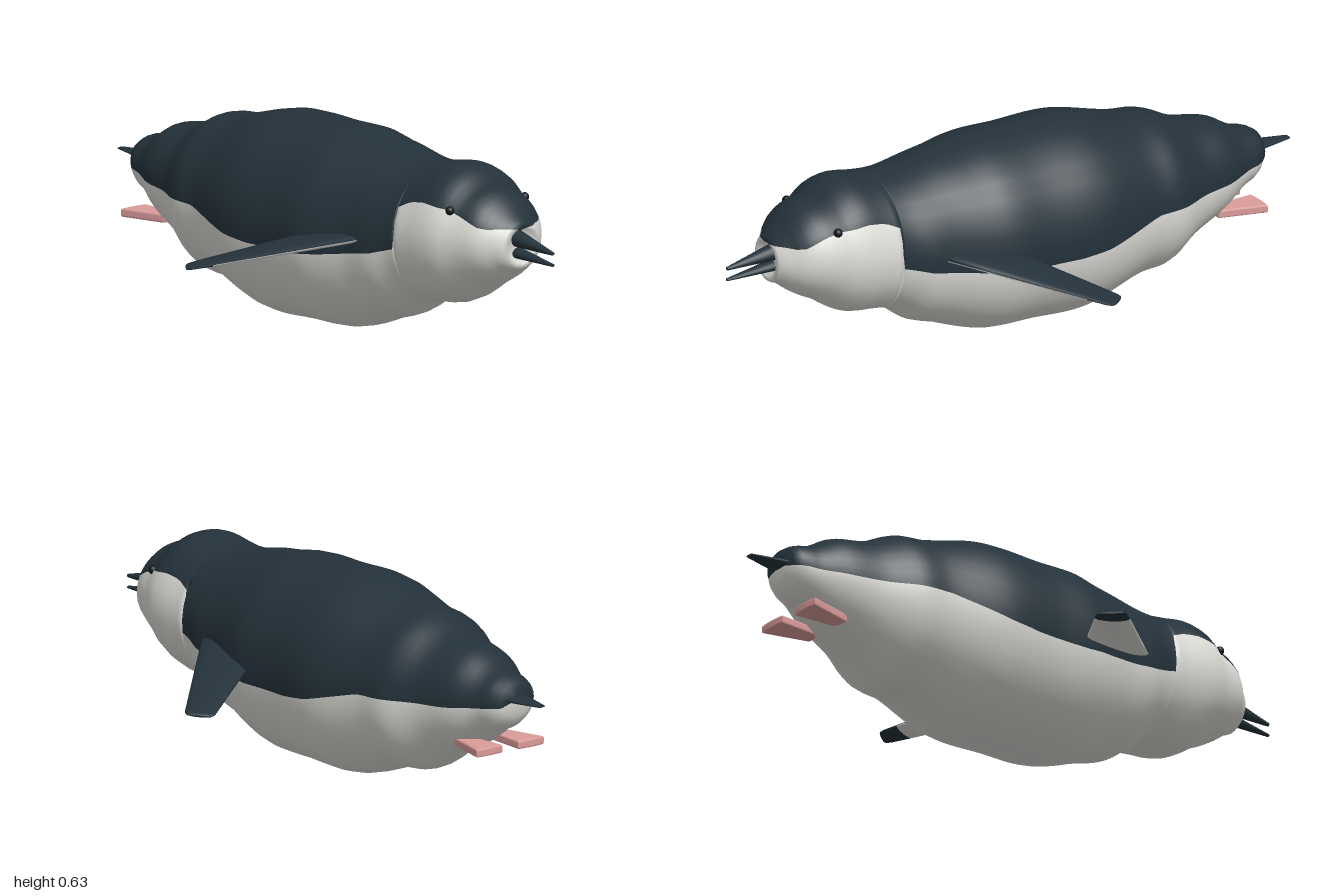
import * as THREE from 'three';

const mat = (name, color, side = THREE.FrontSide) => {
  const m = new THREE.MeshStandardMaterial({ color, side });
  m.name = name;
  return m;
};

// Skin closed rings of points; pick(i, j) gives the material of each quad
function loft(rings, pick, mats, flip = false) {
  const n = rings[0].length;
  const faces = mats.map(() => []);
  for (let i = 0; i < rings.length - 1; i++) {
    for (let j = 0; j < n; j++) {
      const k = (j + 1) % n;
      const a = i * n + j, b = i * n + k, c = a + n, d = b + n;
      faces[pick(i, j)].push(...(flip ? [a, b, c, b, d, c] : [a, c, b, b, c, d]));
    }
  }
  const g = new THREE.BufferGeometry();
  g.setAttribute('position', new THREE.Float32BufferAttribute(rings.flat(2), 3));
  g.setIndex(faces.flat());
  let start = 0;
  faces.forEach((f, m) => { g.addGroup(start, f.length, m); start += f.length; });
  g.computeVertexNormals();
  return new THREE.Mesh(g, mats);
}

// Body stations: x, top, bottom, half width
const STATIONS = [
  [-0.88, 0.43, 0.325, 0.065], [-0.85, 0.448, 0.285, 0.09], [-0.8, 0.46, 0.26, 0.105],
  [-0.72, 0.505, 0.205, 0.145], [-0.6, 0.53, 0.145, 0.18], [-0.5, 0.575, 0.083, 0.228],
  [-0.4, 0.588, 0.07, 0.24], [-0.2, 0.635, 0.01, 0.285], [0, 0.635, 0.01, 0.282],
  [0.13, 0.635, 0.013, 0.282], [0.22, 0.62, 0.035, 0.262], [0.3, 0.61, 0.065, 0.24],
  [0.39, 0.592, 0.095, 0.228], [0.46, 0.588, 0.145, 0.208], [0.53, 0.595, 0.158, 0.203],
  [0.6, 0.605, 0.165, 0.203], [0.66, 0.59, 0.19, 0.195], [0.71, 0.555, 0.225, 0.172],
  [0.76, 0.54, 0.25, 0.152], [0.8, 0.51, 0.275, 0.13], [0.83, 0.475, 0.3, 0.095],
  [0.855, 0.455, 0.31, 0.073],
];
// Height of the edge between dark back and pale belly: x, y
const EDGE = [
  [-0.9, 0.36], [-0.7, 0.34], [-0.4, 0.335], [-0.3, 0.31], [-0.2, 0.285], [-0.1, 0.275],
  [0.1, 0.275], [0.2, 0.285], [0.4, 0.315], [0.487, 0.34], [0.493, 0.47], [0.54, 0.492],
  [0.6, 0.5], [0.68, 0.49], [0.75, 0.465], [0.8, 0.44], [0.9, 0.44],
];

const find = (table, x) => {
  let i = 0;
  while (i < table.length - 2 && x > table[i + 1][0]) i++;
  return i;
};

function edgeY(x) {
  const i = find(EDGE, x), [x0, y0] = EDGE[i], [x1, y1] = EDGE[i + 1];
  return THREE.MathUtils.lerp(y0, y1, (x - x0) / (x1 - x0));
}

// Smooth interpolation of one station column
function profile(x, col) {
  const i = find(STATIONS, x), last = STATIONS.length - 1;
  const slope = (k) => {
    const a = STATIONS[Math.max(k - 1, 0)], b = STATIONS[Math.min(k + 1, last)];
    return (b[col] - a[col]) / (b[0] - a[0]);
  };
  const a = STATIONS[i], b = STATIONS[i + 1], h = b[0] - a[0], t = (x - a[0]) / h;
  const t2 = t * t, t3 = t2 * t;
  return (2 * t3 - 3 * t2 + 1) * a[col] + (t3 - 2 * t2 + t) * h * slope(i)
    + (3 * t2 - 2 * t3) * b[col] + (t3 - t2) * h * slope(i + 1);
}

const HALF = 18;
// Ring whose first half lies above the colour edge and second half below
function bodyRing(x, top, bottom, hw) {
  const yc = (top + bottom) / 2, ry = (top - bottom) / 2;
  const e = Math.asin(THREE.MathUtils.clamp((edgeY(x) - yc) / ry, -0.97, 0.97));
  const ring = [];
  for (let j = 0; j < HALF * 2; j++) {
    const a = j < HALF
      ? e + (Math.PI - 2 * e) * j / HALF
      : Math.PI - e + (Math.PI + 2 * e) * (j - HALF) / HALF;
    ring.push([x, yc + ry * Math.sin(a), hw * Math.cos(a)]);
  }
  return ring;
}

export function createModel() {
  const dark = mat('dark plumage', 0x24323b);
  const pale = mat('pale plumage', 0xdddcd7);
  const pink = mat('pink skin', 0xdb9c9a);
  const black = mat('black eye', 0x11161a);
  const model = new THREE.Group();
  const add = (mesh, name) => { mesh.name = name; model.add(mesh); return mesh; };

  // Body and head in one skin, closed at the rump and recessed at the beak
  const xs = [0.487, 0.493];
  for (let i = 0; i <= 80; i++) xs.push(-0.88 + 1.735 * i / 80);
  xs.sort((a, b) => a - b);
  const rings = [
    bodyRing(-0.882, 0.379, 0.377, 0.001),
    ...xs.map((x) => bodyRing(x, profile(x, 1), profile(x, 2), profile(x, 3))),
    bodyRing(0.858, 0.438, 0.327, 0.055),
    bodyRing(0.84, 0.43, 0.335, 0.048),
    bodyRing(0.838, 0.383, 0.381, 0.001),
  ];
  add(loft(rings, (i, j) => (j < HALF ? 0 : 1), [dark, pale]), 'body');

  // Tapered part along x, from (x0, y0) to (x1, y1), with flattening
  const spike = (name, x0, y0, x1, y1, r0, r1, flat) => {
    const len = Math.abs(x1 - x0), dir = Math.sign(x1 - x0);
    const g = new THREE.CylinderGeometry(r1, r0, len, 16);
    g.rotateZ(-dir * Math.PI / 2);
    g.scale(1, flat, 1);
    const m = add(new THREE.Mesh(g, dark), name);
    m.position.set((x0 + x1) / 2, (y0 + y1) / 2, 0);
    m.rotation.z = Math.atan((y1 - y0) / (x1 - x0));
  };
  spike('upperBeak', 0.835, 0.402, 1.0, 0.381, 0.029, 0.006, 0.9);
  spike('lowerBeak', 0.835, 0.358, 1.0, 0.345, 0.025, 0.006, 0.7);
  spike('tail', -0.85, 0.379, -1.0, 0.379, 0.05, 0.014, 0.25);

  for (const s of [1, -1]) {
    const side = s > 0 ? 'left' : 'right';

    // Flipper: dark above and at the tip, pale below
    const lead = [new THREE.Vector3(0.36, 0.352, 0.23), new THREE.Vector3(-0.012, 0.25, 0.6)];
    const trail = [new THREE.Vector3(0.11, 0.325, 0.24), new THREE.Vector3(-0.082, 0.247, 0.54)];
    // t along the flipper, chord factor, half thickness
    const cuts = [
      [0, 0.01, 0.001], [0, 1, 0.02], [0.25, 1, 0.018], [0.5, 1, 0.015], [0.84, 1, 0.011],
      [0.96, 1, 0.008], [0.99, 0.9, 0.006], [1, 0.7, 0.004], [1, 0.01, 0.001],
    ];
    const N = 20;
    const wing = cuts.map(([t, c, h]) => {
      const l = lead[0].clone().lerp(lead[1], t), r = trail[0].clone().lerp(trail[1], t);
      const mid = l.clone().add(r).multiplyScalar(0.5), half = l.sub(mid).multiplyScalar(c);
      return Array.from({ length: N }, (_, j) => {
        const a = j / N * Math.PI * 2;
        const p = mid.clone().addScaledVector(half, Math.cos(a));
        return [p.x, p.y + h * Math.sin(a), p.z * s];
      });
    });
    const under = (i, j) => (i < 4 && j >= N / 2 ? 1 : 0);
    add(loft(wing, under, [dark, pale], s > 0), side + 'Flipper');

    // Webbed foot trailing behind the belly
    const web = new THREE.Shape();
    web.moveTo(-0.7, 0.045 * s);
    web.lineTo(-0.845, 0.035 * s);
    web.quadraticCurveTo(-0.852, 0.08 * s, -0.845, 0.127 * s);
    web.lineTo(-0.7, 0.09 * s);
    web.closePath();
    const foot = new THREE.ExtrudeGeometry(web, {
      depth: 0.016, bevelEnabled: true, bevelSize: 0.004, bevelThickness: 0.005, bevelSegments: 2,
    });
    foot.rotateX(Math.PI / 2);
    add(new THREE.Mesh(foot, pink), side + 'Foot').position.y = 0.229;

    // Eye
    const eye = add(new THREE.Mesh(new THREE.SphereGeometry(0.014, 14, 10), black), side + 'Eye');
    eye.position.set(0.695, 0.487, 0.151 * s);
  }
  return model;
}
